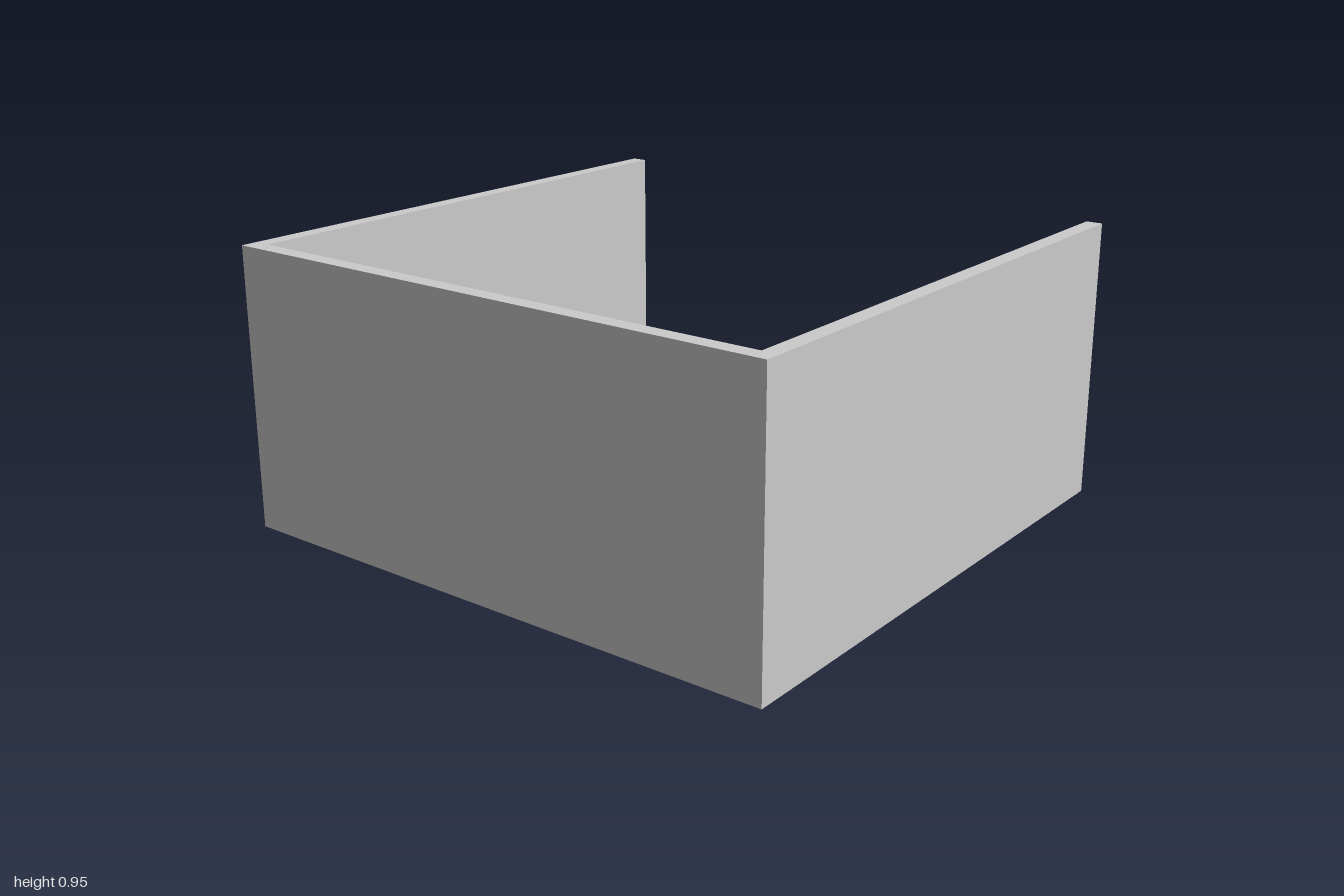
import * as THREE from 'three';

const W = 1, D = 0.97;            // outer half width and half depth
const IN_X = 0.945, IN_Z = 0.915; // inner faces of the walls

export function createModel() {
  const group = new THREE.Group();
  const mat = new THREE.MeshStandardMaterial({ color: 0xcccccc });
  const openMat = new THREE.MeshStandardMaterial({ color: 0xcccccc, side: THREE.DoubleSide });

  const add = (name, geometry, material = mat) => {
    const mesh = new THREE.Mesh(geometry, material);
    mesh.name = name;
    group.add(mesh);
    return mesh;
  };

  const box = (name, x0, x1, y0, y1, z0, z1) =>
    add(name, new THREE.BoxGeometry(x1 - x0, y1 - y0, z1 - z0))
      .position.set((x0 + x1) / 2, (y0 + y1) / 2, (z0 + z1) / 2);

  // U-shaped plan, open at the back (shape y is -z)
  const uShape = (outX, outZ, inX, inZ) => new THREE.Shape([
    [-outX, D], [-outX, -outZ], [outX, -outZ], [outX, D],
    [inX, D], [inX, -inZ], [-inX, -inZ], [-inX, D],
  ].map(([x, y]) => new THREE.Vector2(x, y)));

  const raise = (shape, y0, y1) =>
    new THREE.ExtrudeGeometry(shape, { depth: y1 - y0, bevelEnabled: false, curveSegments: 24 })
      .rotateX(-Math.PI / 2).translate(0, y0, 0);

  // Floor and the three walls
  box('floor', -W, W, 0, 0.03, -D, D);
  add('walls', raise(uShape(W, D, IN_X, IN_Z), 0.03, 0.95));

  // Raised ledge around the floor, with a round opening for the basin
  const basin = { x: -0.05, z: 0.76, r: 0.11, bottom: 0.09, top: 0.21 };
  const ledge = uShape(IN_X, IN_Z, 0.66, 0.63);
  ledge.holes.push(new THREE.Path().absarc(basin.x, -basin.z, basin.r, 0, Math.PI * 2, true));
  add('ledge', raise(ledge, 0.03, basin.top));

  // Tapered basin sunk in the ledge
  const rBottom = 0.092;
  add('basinWall', new THREE.LatheGeometry([
    new THREE.Vector2(rBottom, basin.bottom), new THREE.Vector2(basin.r, basin.top),
  ], 48), openMat).position.set(basin.x, 0, basin.z);
  add('basinBottom', new THREE.CircleGeometry(rBottom, 48).rotateX(-Math.PI / 2))
    .position.set(basin.x, basin.bottom, basin.z);

  // Block mounted on the front wall above the ledge
  box('wallCabinet', -0.565, 0.565, 0.38, 0.56, 0.725, IN_Z);

  // Thin shelves along both side walls
  box('leftShelf', 0.81, IN_X, 0.365, 0.378, -0.405, IN_Z);
  box('rightShelf', -IN_X, -0.81, 0.365, 0.378, -0.405, IN_Z);

  return group;
}
